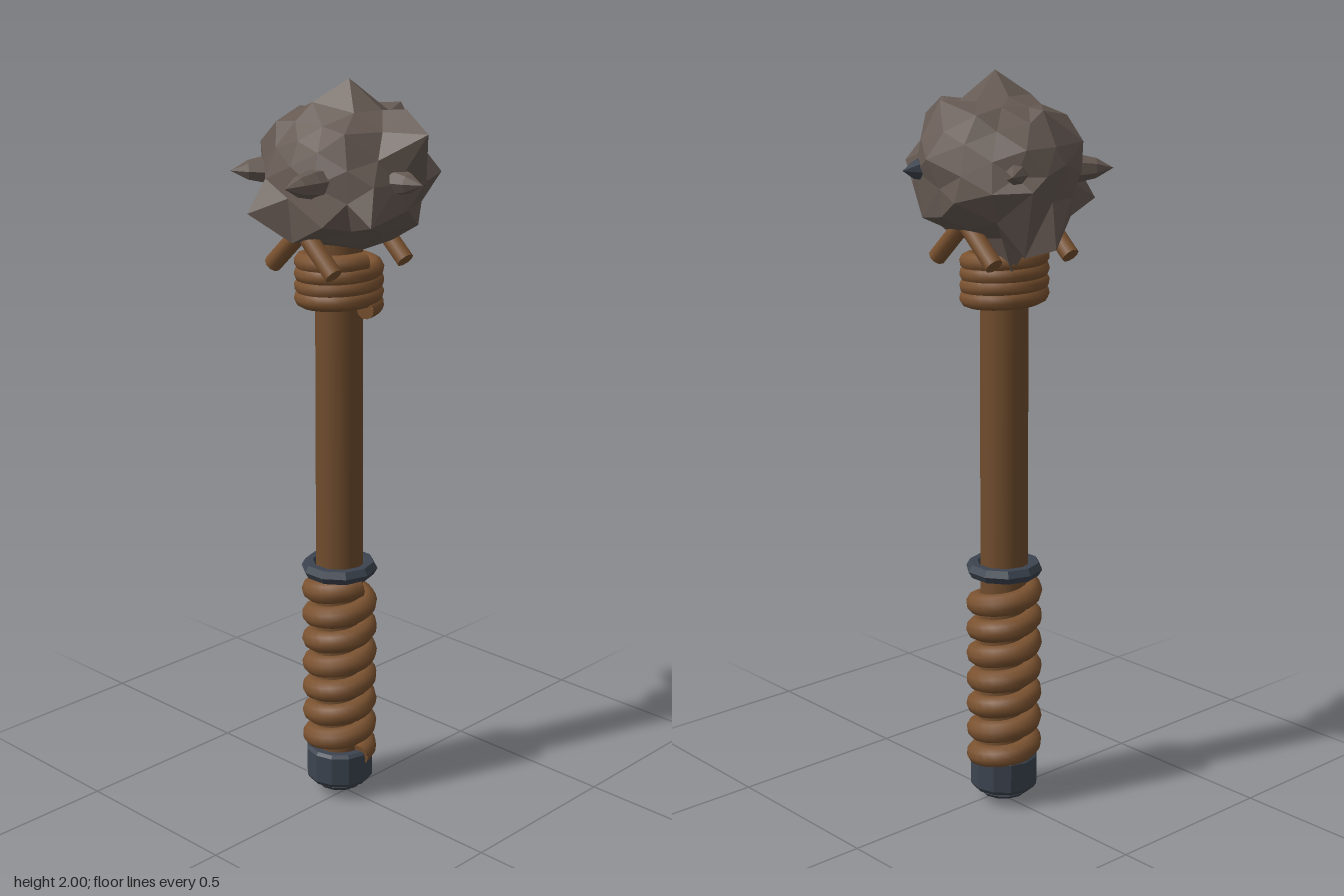
import * as THREE from 'three';
import { mergeVertices } from 'three/addons/utils/BufferGeometryUtils.js';

const AXIS = -0.026; // x of the handle

function material(name, color, flatShading = false) {
  const m = new THREE.MeshStandardMaterial({ color, flatShading });
  m.name = name;
  return m;
}

export function createModel() {
  const group = new THREE.Group();
  const wood = material('wood', 0x6f4c2d);
  const rope = material('leather cord', 0x7a5230);
  const stone = material('stone', 0x665a53, true);
  const metal = material('dark iron', 0x3c444f, true);

  function add(name, geometry, mat, x = 0, y = 0, z = 0) {
    const mesh = new THREE.Mesh(geometry, mat);
    mesh.name = name;
    mesh.position.set(x, y, z);
    group.add(mesh);
    return mesh;
  }

  // Wooden shaft
  add('shaft', new THREE.CylinderGeometry(0.063, 0.066, 1.55, 20), wood, AXIS, 0.865, 0);

  // Pommel with a faceted tip, and the collar above the grip
  const profile = [[0, 0], [0.062, 0.02], [0.07, 0.03], [0.064, 0.036], [0.086, 0.04],
    [0.094, 0.052], [0.094, 0.132], [0.086, 0.14], [0, 0.14]];
  add('pommel', new THREE.LatheGeometry(profile.map(([r, y]) => new THREE.Vector2(r, y)), 12),
    metal, AXIS, 0.005, 0);
  const collar = add('collar', new THREE.TorusGeometry(0.084, 0.021, 6, 10), metal, AXIS, 0.68, 0);
  collar.rotation.x = Math.PI / 2;

  // Cords wound around the shaft, closed by discs at both ends
  function coil(name, radius, thickness, y0, y1, turns) {
    const points = [];
    const steps = turns * 12;
    for (let i = 0; i <= steps; i++) {
      const t = Math.PI / 2 + (i / steps) * turns * Math.PI * 2;
      points.push(new THREE.Vector3(radius * Math.sin(t), y0 + (y1 - y0) * i / steps, radius * Math.cos(t)));
    }
    const curve = new THREE.CatmullRomCurve3(points);
    add(name, new THREE.TubeGeometry(curve, turns * 24, thickness, 10), rope, AXIS, 0, 0);
    for (const end of [0, 1]) {
      const p = curve.getPoint(end);
      const dir = curve.getTangent(end).multiplyScalar(end ? 1 : -1);
      const cap = add(name + 'End', new THREE.CircleGeometry(thickness, 10), rope, p.x + AXIS, p.y, p.z);
      cap.quaternion.setFromUnitVectors(new THREE.Vector3(0, 0, 1), dir);
    }
  }
  coil('gripCord', 0.073, 0.031, 0.13, 0.643, 7);
  coil('neckCord', 0.093, 0.025, 1.415, 1.543, 4);

  // Crossed lashings holding the head, front and back
  for (const z of [0.132, -0.135]) {
    for (const side of [-1, 1]) {
      const lash = add('lashing', new THREE.CylinderGeometry(0.024, 0.024, 0.3, 10), rope,
        AXIS, 1.63, z);
      lash.rotation.z = side * 0.82;
    }
  }

  // Rough stone head: a jittered ball whose nearest corners are pulled out to the crags
  const crags = [
    [0.01, 2.0, 0], [0.25, 1.88, -0.03], [0.15, 1.93, -0.06], [-0.2, 1.91, -0.03],
    [-0.06, 1.94, 0.06], [0.04, 1.93, -0.16], [-0.26, 1.72, -0.12], [-0.25, 1.57, -0.03],
    [-0.12, 1.5, -0.06], [-0.13, 1.67, 0.225], [0.195, 1.66, 0.115], [0.1, 1.66, 0.19],
    [0, 1.79, -0.24], [-0.1, 1.69, -0.235], [0.19, 1.77, -0.15], [-0.22, 1.83, 0.09],
    [-0.03, 1.6, 0.165], [-0.11, 1.9, -0.17], [0.1, 1.88, 0.11], [-0.14, 1.89, 0.11],
    [0.04, 1.64, -0.22], [0.14, 1.63, -0.12], [-0.26, 1.78, -0.01], [-0.2, 1.55, -0.09],
  ];
  const ball = new THREE.IcosahedronGeometry(1, 2);
  ball.deleteAttribute('normal');
  ball.deleteAttribute('uv');
  const head = mergeVertices(ball, 1e-3);
  const pos = head.attributes.position;
  let seed = 11;
  const random = () => (seed = (seed * 16807) % 2147483647) / 2147483647;
  const centre = new THREE.Vector3(-0.03, 1.755, -0.03);
  const unit = [];
  for (let i = 0; i < pos.count; i++) {
    const v = new THREE.Vector3().fromBufferAttribute(pos, i).normalize();
    unit.push(v);
    const r = 0.94 + 0.12 * random();
    pos.setXYZ(i, centre.x + v.x * 0.23 * r, centre.y + v.y * 0.193 * r, centre.z + v.z * 0.208 * r);
  }
  const used = new Set();
  for (const crag of crags) {
    const dir = new THREE.Vector3(...crag).sub(centre).normalize();
    let best = -1;
    unit.forEach((v, i) => {
      if (!used.has(i) && (best < 0 || v.dot(dir) > unit[best].dot(dir))) best = i;
    });
    used.add(best);
    pos.setXYZ(best, ...crag);
  }
  const rock = head.toNonIndexed();
  rock.computeVertexNormals();
  add('stoneHead', rock, stone);

  // Ring of spikes, given by tip x, z and direction x, z; the one behind is iron
  const spikeShape = [[0.037, 0], [0.036, 0.06], [0.026, 0.105], [0, 0.15]]
    .map(([r, y]) => new THREE.Vector2(r, y));
  const spikes = [
    [0.26, 0, 1, 0, stone], [0.053, 0.27, 0, 1, stone], [0.053, -0.272, 0, -1, metal],
    [-0.245, 0.174, -0.6, 0.8, stone], [-0.245, -0.174, -0.6, -0.8, stone],
  ];
  for (const [x, z, dx, dz, mat] of spikes) {
    const spike = add('spike', new THREE.LatheGeometry(spikeShape, 7), mat,
      x - dx * 0.15, 1.76, z - dz * 0.15);
    spike.quaternion.setFromUnitVectors(new THREE.Vector3(0, 1, 0), new THREE.Vector3(dx, 0, dz));
  }

  return group;
}
